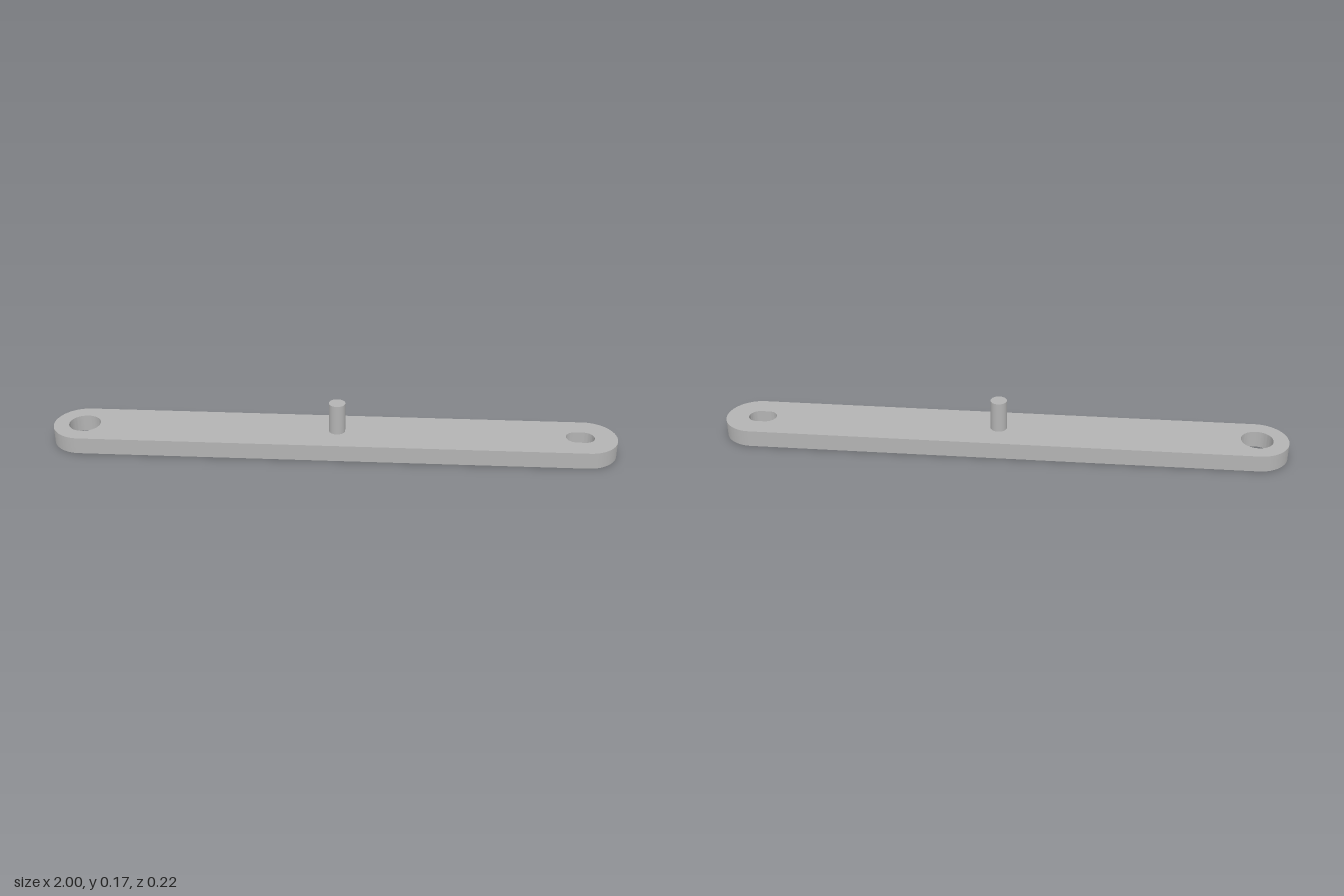
import * as THREE from 'three';
import { toCreasedNormals } from 'three/addons/utils/BufferGeometryUtils.js';

// Traces a rounded slot outline centred at x = cx (a circle when half = 0)
function slot(path, cx, half, r) {
  path.absarc(cx + half, 0, r, -Math.PI / 2, Math.PI / 2, false);
  path.absarc(cx - half, 0, r, Math.PI / 2, Math.PI * 1.5, false);
  path.closePath();
  return path;
}

export function createModel() {
  const group = new THREE.Group();
  group.name = 'linkArm';
  const steel = new THREE.MeshStandardMaterial({ color: 0xb3b3b3 });
  steel.name = 'greySteel';

  const thickness = 0.06, endRadius = 0.11, pinTop = 0.17;

  // Flat bar with a round hole at one end and a short slot at the other
  const outline = slot(new THREE.Shape(), 0, 1 - endRadius, endRadius);
  outline.holes.push(
    slot(new THREE.Path(), -0.89, 0, 0.056),
    slot(new THREE.Path(), 0.87, 0.014, 0.036)
  );
  const barGeometry = new THREE.ExtrudeGeometry(outline, {
    depth: thickness, bevelEnabled: false, curveSegments: 32
  });
  barGeometry.rotateX(-Math.PI / 2);
  const bar = new THREE.Mesh(toCreasedNormals(barGeometry, 0.6), steel);
  bar.name = 'bar';
  group.add(bar);

  // Upright pin near the middle
  const height = pinTop - thickness;
  const pin = new THREE.Mesh(new THREE.CylinderGeometry(0.029, 0.029, height, 48), steel);
  pin.name = 'pin';
  pin.position.set(0.015, thickness + height / 2, 0);
  group.add(pin);

  return group;
}
